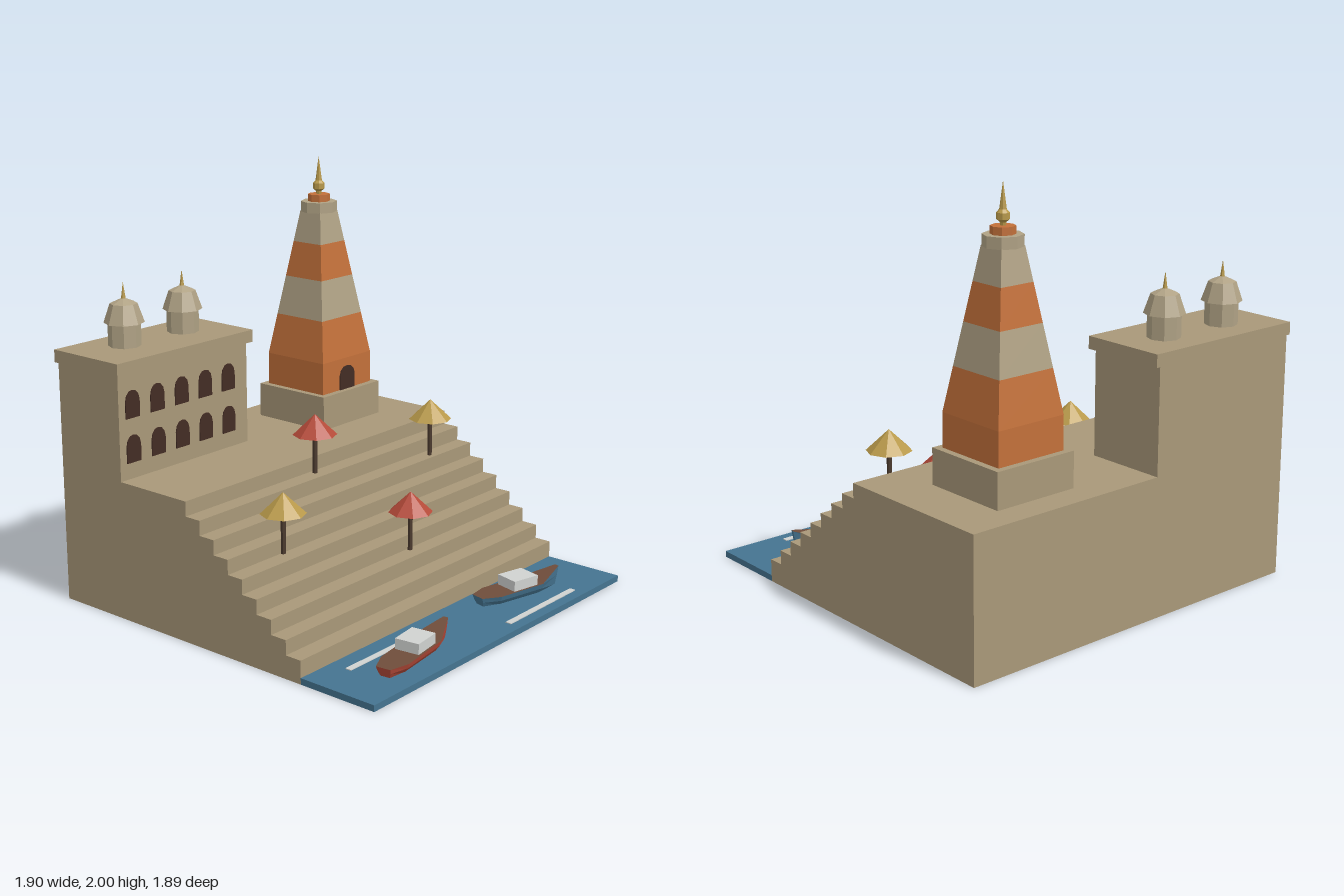
import * as THREE from 'three';

const paint = (name, color, side = THREE.FrontSide) => {
  const m = new THREE.MeshStandardMaterial({ color, side });
  m.name = name;
  return m;
};

export function createModel() {
  const root = new THREE.Group();
  root.name = 'riversideSteps';

  const stone = paint('sandstone', 0xa99879, THREE.DoubleSide);
  const paleStone = paint('paleStone', 0xb0a285, THREE.DoubleSide);
  const orange = paint('orange', 0xc2703a);
  const water = paint('waterBlue', 0x457490, THREE.DoubleSide);
  const dark = paint('darkOpening', 0x432c24);
  const red = paint('red', 0xb44a39);
  const gold = paint('gold', 0xb8994a);
  const white = paint('white', 0xd0d2d0);
  const wood = paint('wood', 0x6f4d3b);
  const pole = paint('darkWood', 0x4b3a2e);

  // Faceted normals
  const flat = (g) => {
    const n = g.index ? g.toNonIndexed() : g;
    n.computeVertexNormals();
    return n;
  };
  const add = (name, geo, mat, x = 0, y = 0, z = 0, parent = root) => {
    const m = new THREE.Mesh(flat(geo), mat);
    m.name = name;
    m.position.set(x, y, z);
    parent.add(m);
    return m;
  };
  // Box given by its limits
  const block = (name, mat, x0, x1, y0, y1, z0, z1) =>
    add(name, new THREE.BoxGeometry(x1 - x0, y1 - y0, z1 - z0), mat,
      (x0 + x1) / 2, (y0 + y1) / 2, (z0 + z1) / 2);
  // Removes the faces lying on the ground, leaving a hollow shell
  const openBelow = (g, floor) => {
    const src = (g.index ? g.toNonIndexed() : g).getAttribute('position');
    const keep = [];
    for (let i = 0; i < src.count; i += 3) {
      if ([0, 1, 2].every((k) => src.getY(i + k) < floor + 1e-4)) continue;
      for (let k = 0; k < 3; k++) keep.push(src.getX(i + k), src.getY(i + k), src.getZ(i + k));
    }
    return new THREE.BufferGeometry().setAttribute('position', new THREE.Float32BufferAttribute(keep, 3));
  };
  // Faceted turned part from [radius, height] pairs
  const turned = (pts, sides = 8) =>
    new THREE.LatheGeometry(pts.map(([r, y]) => new THREE.Vector2(r, y)), sides);
  // Thin round-topped plate for doors and windows, standing on y = 0
  const archPlate = (w, h) => {
    const s = new THREE.Shape();
    s.moveTo(-w / 2, 0);
    s.lineTo(w / 2, 0);
    s.lineTo(w / 2, h * 0.6);
    s.lineTo(w * 0.42, h * 0.82);
    s.lineTo(w * 0.22, h * 0.97);
    s.lineTo(0, h);
    s.lineTo(-w * 0.22, h * 0.97);
    s.lineTo(-w * 0.42, h * 0.82);
    s.lineTo(-w / 2, h * 0.6);
    return new THREE.ExtrudeGeometry(s, { depth: 0.006, bevelEnabled: false });
  };

  // Stairs and terrace: one stepped profile swept across the width
  const profile = new THREE.Shape();
  profile.moveTo(0.943, 0);
  profile.lineTo(0.943, 0.67);
  for (let i = 8; i >= 0; i--) {
    const u = -0.54 + i * 0.084;
    profile.lineTo(u, 0.11 + i * 0.07);
    profile.lineTo(u, i ? 0.04 + i * 0.07 : 0);
  }
  const stairs = new THREE.ExtrudeGeometry(profile, { depth: 1.883, bevelEnabled: false });
  stairs.rotateY(Math.PI / 2);
  add('stairs', openBelow(stairs, 0), stone, -0.933);

  // River with light streaks
  add('river', openBelow(new THREE.BoxGeometry(1.883, 0.03, 0.403), -0.015), water, 0.0085, 0.015, 0.7415);
  block('ripple', white, -0.74, -0.26, 0.027, 0.034, 0.625, 0.655);
  block('ripple', white, 0.115, 0.65, 0.027, 0.034, 0.86, 0.89);

  // Palace with arched windows
  block('palace', stone, -0.933, -0.1, 0.67, 1.17, -0.943, -0.545);
  block('palaceCornice', stone, -0.955, -0.08, 1.17, 1.23, -0.943, -0.52);
  for (const y of [0.747, 0.957])
    for (let i = 0; i < 5; i++)
      add('window', archPlate(0.086, 0.13), dark, -0.85 + i * 0.155, y, -0.546);

  // Roof kiosks
  for (const x of [-0.69, -0.315]) {
    const kiosk = new THREE.Group();
    kiosk.name = 'kiosk';
    kiosk.position.set(x, 1.23, -0.755);
    root.add(kiosk);
    add('kioskDrum', new THREE.CylinderGeometry(0.077, 0.077, 0.115, 8), paleStone, 0, 0.055, 0, kiosk);
    add('kioskDome', turned([[0, 0.11], [0.095, 0.11], [0.064, 0.2], [0, 0.228]]), paleStone, 0, 0, 0, kiosk);
    add('kioskSpire', new THREE.ConeGeometry(0.013, 0.09, 6), gold, 0, 0.255, 0, kiosk);
  }

  // Temple tower: square, straight base then a steady taper, in colour bands
  const tx = 0.488, tz = -0.59;
  block('towerPlinth', stone, tx - 0.215, tx + 0.215, 0.67, 0.84, tz - 0.215, tz + 0.215);
  const half = (y) => 0.183 - 0.118 * Math.max(0, (y - 1) / 0.73);
  const levels = [0.84, 1, 1.205, 1.4, 1.575, 1.73];
  [orange, orange, paleStone, orange, paleStone].forEach((mat, i) => {
    const [a, b] = [levels[i], levels[i + 1]];
    const band = new THREE.CylinderGeometry(half(b) * Math.SQRT2, half(a) * Math.SQRT2, b - a, 4, 1, true);
    add('towerBand', band.rotateY(Math.PI / 4), mat, tx, (a + b) / 2, tz);
  });
  add('towerDoor', archPlate(0.112, 0.12), dark, tx, 0.84, tz + 0.182);
  add('towerCapital', new THREE.CylinderGeometry(0.09, 0.09, 0.052, 8), paleStone, tx, 1.751, tz);
  add('towerCollar', new THREE.CylinderGeometry(0.055, 0.055, 0.036, 8), orange, tx, 1.794, tz);
  add('towerFinial', turned([[0.012, 1.81], [0.014, 1.826], [0.029, 1.838], [0.029, 1.866],
    [0.016, 1.88], [0, 2]]), gold, tx, 0, tz);

  // Parasols standing on the treads
  for (const [x, y, z, mat] of [[-0.1, 0.6, -0.106, red], [-0.583, 0.39, 0.128, gold],
    [0.115, 0.25, 0.302, red], [0.65, 0.53, 0.002, gold]]) {
    const parasol = new THREE.Group();
    parasol.name = 'parasol';
    parasol.position.set(x, y, z);
    root.add(parasol);
    add('parasolPole', new THREE.CylinderGeometry(0.012, 0.012, 0.25, 6), pole, 0, 0.11, 0, parasol);
    add('parasolCanopy', new THREE.ConeGeometry(0.106, 0.1, 8), mat, 0, 0.24, 0, parasol);
  }

  // Boats: hull lofted through stations of [x, half width, rim height]
  const stations = [[-0.5, 0.036, 0.076], [-0.32, 0.07, 0.076], [0.2, 0.07, 0.08], [0.5, 0.012, 0.12]];
  const boat = (length, mat, x, z, turn) => {
    const group = new THREE.Group();
    group.name = 'boat';
    group.position.set(x, 0, z);
    group.rotation.y = turn;
    root.add(group);
    const rings = stations.map(([s, w, top]) => {
      const at = (kx, y, k) => [s * length * kx, y, w * k];
      const mid = 0.03 + (top - 0.03) * 0.5;
      return [at(1, top, 1), at(0.97, mid, 0.9), at(0.93, 0.026, 0.6),
        at(0.93, 0.026, -0.6), at(0.97, mid, -0.9), at(1, top, -1)];
    });
    const hull = [], deck = [];
    const quad = (out, a, b, c, d) => out.push(...a, ...b, ...c, ...a, ...c, ...d);
    for (let i = 0; i < 3; i++) {
      const [p, q] = [rings[i], rings[i + 1]];
      for (let k = 0; k < 5; k++) quad(hull, p[k], p[k + 1], q[k + 1], q[k]);
      quad(deck, p[5], p[0], q[0], q[5]);
    }
    // Stern and bow ends
    for (const [r, flip] of [[rings[0], false], [rings[3], true]])
      for (let k = 0; k < 2; k++) {
        const c = [r[k], r[5 - k], r[4 - k], r[k + 1]];
        quad(hull, ...(flip ? c.reverse() : c));
      }
    const geo = (v) => new THREE.BufferGeometry().setAttribute('position', new THREE.Float32BufferAttribute(v, 3));
    add('hull', geo(hull), mat, 0, 0, 0, group);
    add('deck', geo(deck), wood, 0, 0, 0, group);
    add('cabin', new THREE.BoxGeometry(0.145, 0.055, 0.12), white, 0, 0.1, 0, group);
  };
  boat(0.535, red, -0.443, 0.772, 0.13);
  boat(0.5, water, 0.436, 0.703, -0.24);

  return root;
}
